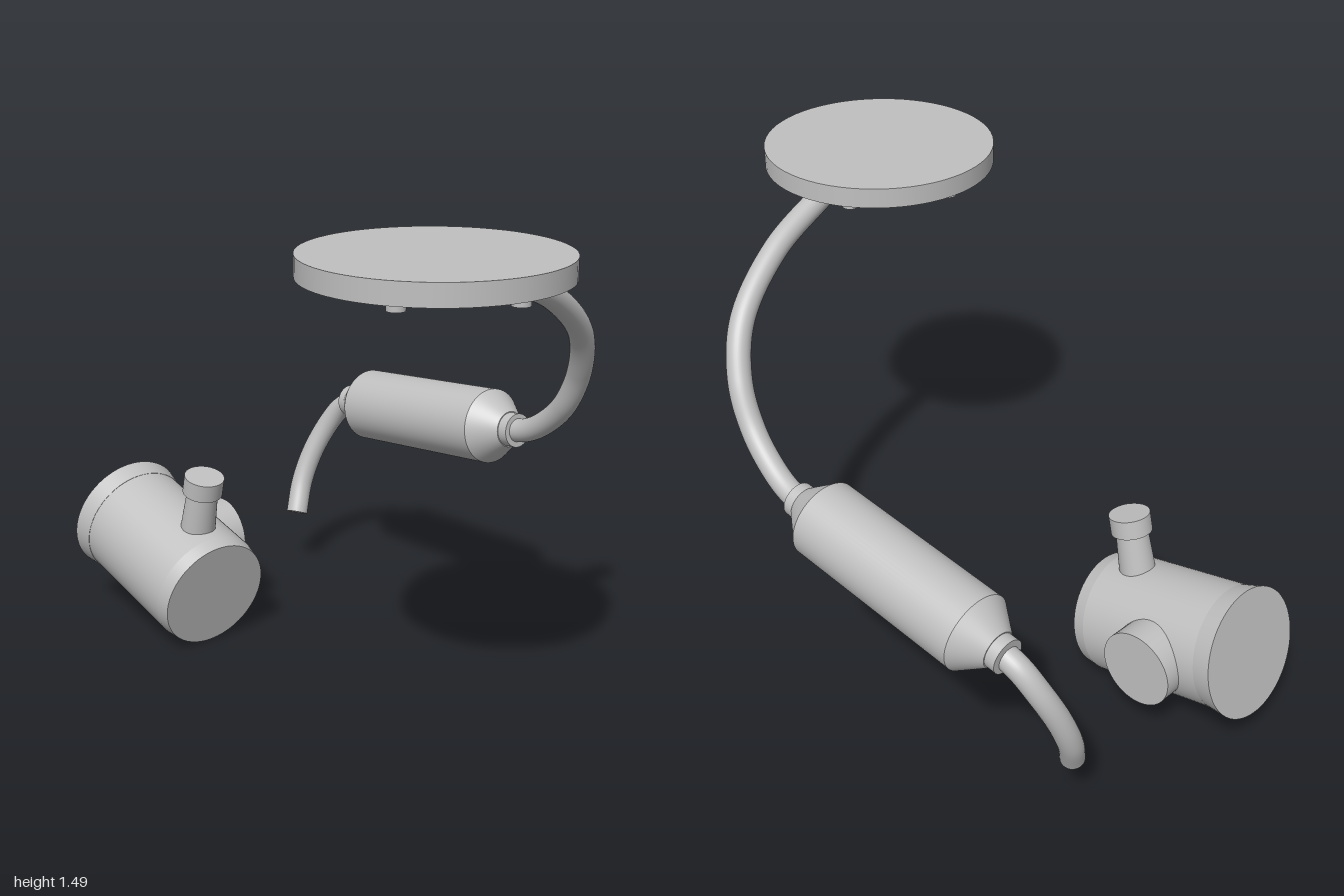
import * as THREE from 'three';

const steel = new THREE.MeshStandardMaterial({ color: 0xc0c0c0 });
steel.name = 'light grey steel';

function add(parent, name, geometry) {
  const mesh = new THREE.Mesh(geometry, steel);
  mesh.name = name;
  parent.add(mesh);
  return mesh;
}

// Round section along local x, from x0 (radius r0) to x1 (radius r1)
function section(parent, name, x0, r0, x1, r1) {
  const g = new THREE.CylinderGeometry(r1, r0, x1 - x0, 64);
  g.rotateZ(-Math.PI / 2).translate((x0 + x1) / 2, 0, 0);
  return add(parent, name, g);
}

// Upright round section at x, z from y0 (radius r0) to y1 (radius r1)
function post(parent, name, x, z, y0, r0, y1, r1) {
  const g = new THREE.CylinderGeometry(r1, r0, y1 - y0, 64);
  return add(parent, name, g.translate(x, (y0 + y1) / 2, z));
}

// Bent pipe with closed ends
function pipe(parent, name, points, radius) {
  const group = new THREE.Group();
  group.name = name;
  parent.add(group);
  const curve = new THREE.CatmullRomCurve3(points.map((p) => new THREE.Vector3(...p)));
  add(group, name + 'Tube', new THREE.TubeGeometry(curve, 80, radius, 32));
  for (const t of [0, 1]) {
    const cap = add(group, name + 'End', new THREE.CircleGeometry(radius, 32));
    const direction = curve.getTangentAt(t).multiplyScalar(t ? 1 : -1);
    cap.position.copy(curve.getPointAt(t));
    cap.quaternion.setFromUnitVectors(new THREE.Vector3(0, 0, 1), direction);
  }
}

export function createModel() {
  const model = new THREE.Group();
  model.name = 'pipeAssembly';

  // Mounting flange with a ring of six bolts underneath
  const flange = new THREE.Group();
  flange.name = 'flange';
  flange.position.set(0.635, 0, 0.275);
  model.add(flange);
  post(flange, 'flangeDisc', 0, 0, 1.428, 0.365, 1.49, 0.365);
  for (let i = 0; i < 6; i++) {
    const a = (i * Math.PI) / 3;
    post(flange, 'bolt', 0.31 * Math.cos(a), 0.31 * Math.sin(a), 1.405, 0.025, 1.435, 0.025);
  }

  // Upper and lower bent pipes
  pipe(model, 'upperPipe', [
    [0.12, 0.727, -0.523], [0.2, 0.742, -0.523], [0.28, 0.783, -0.518], [0.38, 0.87, -0.505],
    [0.46, 1.0, -0.48], [0.53, 1.15, -0.4], [0.59, 1.295, -0.21], [0.63, 1.395, 0.035],
  ], 0.038);
  pipe(model, 'lowerPipe', [
    [-0.65, 0.645, -0.522], [-0.72, 0.61, -0.512], [-0.77, 0.54, -0.487],
    [-0.807, 0.43, -0.44], [-0.815, 0.32, -0.395], [-0.79, 0.215, -0.35],
  ], 0.038);

  // Middle chamber with conical ends and collars
  const chamber = new THREE.Group();
  chamber.name = 'chamber';
  chamber.position.set(-0.26, 0.686, -0.523);
  chamber.rotation.z = 0.11;
  model.add(chamber);
  section(chamber, 'chamberBody', -0.31, 0.123, 0.31, 0.123);
  section(chamber, 'rightCone', -0.395, 0.058, -0.31, 0.123);
  section(chamber, 'leftCone', 0.31, 0.123, 0.395, 0.058);
  section(chamber, 'rightCollar', -0.43, 0.055, -0.39, 0.055);
  section(chamber, 'leftCollar', 0.39, 0.055, 0.43, 0.055);

  // Tilted canister with a flared rim and a chamfered end
  const canister = new THREE.Group();
  canister.name = 'canister';
  canister.position.set(-0.95, 0.315, 0.275);
  canister.rotation.z = -0.245;
  model.add(canister);
  section(canister, 'canisterRim', 0, 0.207, 0.065, 0.196);
  section(canister, 'canisterBody', 0.06, 0.195, 0.5, 0.195);
  section(canister, 'canisterChamfer', 0.5, 0.195, 0.546, 0.186);

  // Capped neck on top
  post(canister, 'neck', 0.41, 0, 0.17, 0.058, 0.33, 0.05);
  post(canister, 'neckCap', 0.41, 0, 0.32, 0.065, 0.381, 0.065);

  // Round port at the back
  const port = new THREE.CylinderGeometry(0.123, 0.123, 0.15, 64);
  add(canister, 'backPort', port.rotateX(Math.PI / 2).translate(0.247, 0, -0.17));

  return model;
}
